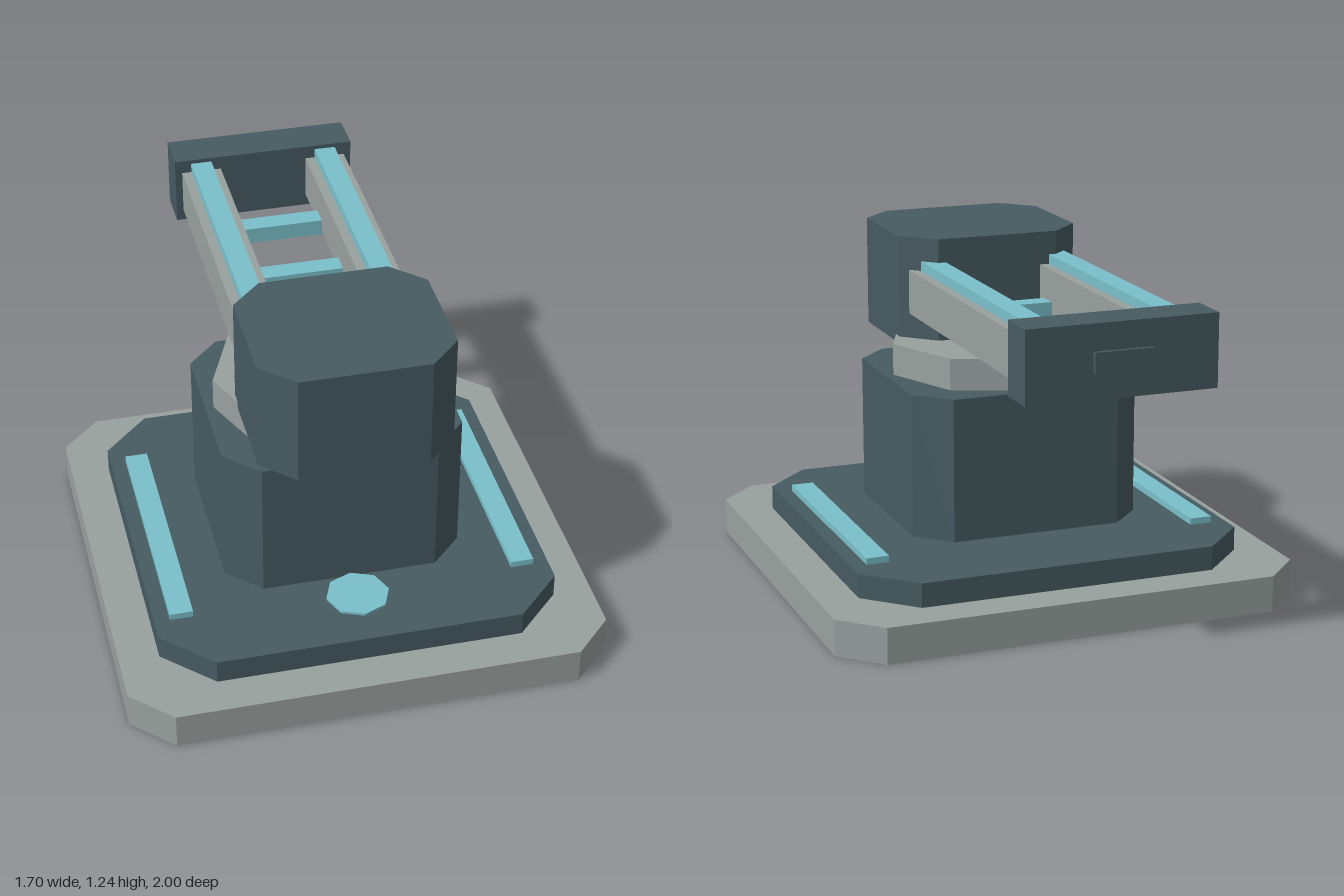
import * as THREE from 'three';

const material = (name, color) => {
  const m = new THREE.MeshStandardMaterial({ color });
  m.name = name;
  return m;
};

export function createModel() {
  const model = new THREE.Group();
  model.name = 'turret';
  const dark = material('dark slate', 0x465b62);
  const grey = material('light grey', 0x99a19f);
  const cyan = material('pale cyan', 0x7bc0cb);

  const add = (name, geometry, mat, parent = model) => {
    const mesh = new THREE.Mesh(geometry, mat);
    mesh.name = name;
    parent.add(mesh);
    return mesh;
  };

  // Box given by its limits on each axis
  const box = (name, mat, [x0, x1], [y0, y1], [z0, z1], parent) =>
    add(name, new THREE.BoxGeometry(x1 - x0, y1 - y0, z1 - z0), mat, parent)
      .position.set((x0 + x1) / 2, (y0 + y1) / 2, (z0 + z1) / 2);

  // Upright block with four cut corners
  const block = (name, mat, w, d, cut, y0, y1, z) => {
    const s = new THREE.Shape([
      [w - cut, -d], [w, cut - d], [w, d - cut], [w - cut, d],
      [cut - w, d], [-w, d - cut], [-w, cut - d], [cut - w, -d],
    ].map(([x, y]) => new THREE.Vector2(x, y)));
    const g = new THREE.ExtrudeGeometry(s, { depth: y1 - y0, bevelEnabled: false });
    g.rotateX(-Math.PI / 2);
    add(name, g, mat).position.set(0, y0, z);
  };

  // Eight-sided disc with corners on the axes
  const octagon = (name, mat, r, y0, y1, z) => {
    const g = new THREE.CylinderGeometry(r, r, y1 - y0, 8).toNonIndexed();
    g.computeVertexNormals();
    add(name, g, mat).position.set(0, (y0 + y1) / 2, z);
  };

  // Stepped base, pedestal and head
  block('basePlate', grey, 0.85, 0.85, 0.14, 0, 0.13, 0.15);
  block('deck', dark, 0.71, 0.71, 0.17, 0.13, 0.217, 0.15);
  block('pedestal', dark, 0.425, 0.395, 0.115, 0.236, 0.754, 0.15);
  octagon('collar', grey, 0.397, 0.757, 0.87, 0.15);
  block('head', dark, 0.338, 0.297, 0.112, 0.844, 1.24, 0.434);
  octagon('frontLight', cyan, 0.112, 0.243, 0.252, 0.66);

  // Twin rails with glowing tops, and the deck light strips
  const arm = new THREE.Group();
  arm.name = 'railArm';
  model.add(arm);
  for (const [side, s] of [['left', 1], ['right', -1]]) {
    const span = (a, b) => (s > 0 ? [a, b] : [-b, -a]);
    box(side + 'Rail', grey, span(0.163, 0.31), [0.96, 1.12], [-0.85, 0.26], arm);
    box(side + 'RailLight', cyan, span(0.198, 0.275), [1.12, 1.155], [-0.845, 0.24], arm);
    box(side + 'DeckLight', cyan, span(0.573, 0.655), [0.217, 0.24], [-0.31, 0.61]);
  }

  // Cross bars between the rails
  [0.058, -0.275, -0.608].forEach((z, i) =>
    box('crossBar' + (i + 1), cyan, [-0.23, 0.23], [0.945, 1.005], [z - 0.037, z + 0.037], arm));

  // End block and its small plate
  box('endBlock', dark, [-0.336, 0.336], [0.918, 1.17], [-0.985, -0.835], arm);
  box('endPlate', dark, [-0.103, 0.103], [1.008, 1.078], [-1, -0.98], arm);

  return model;
}
